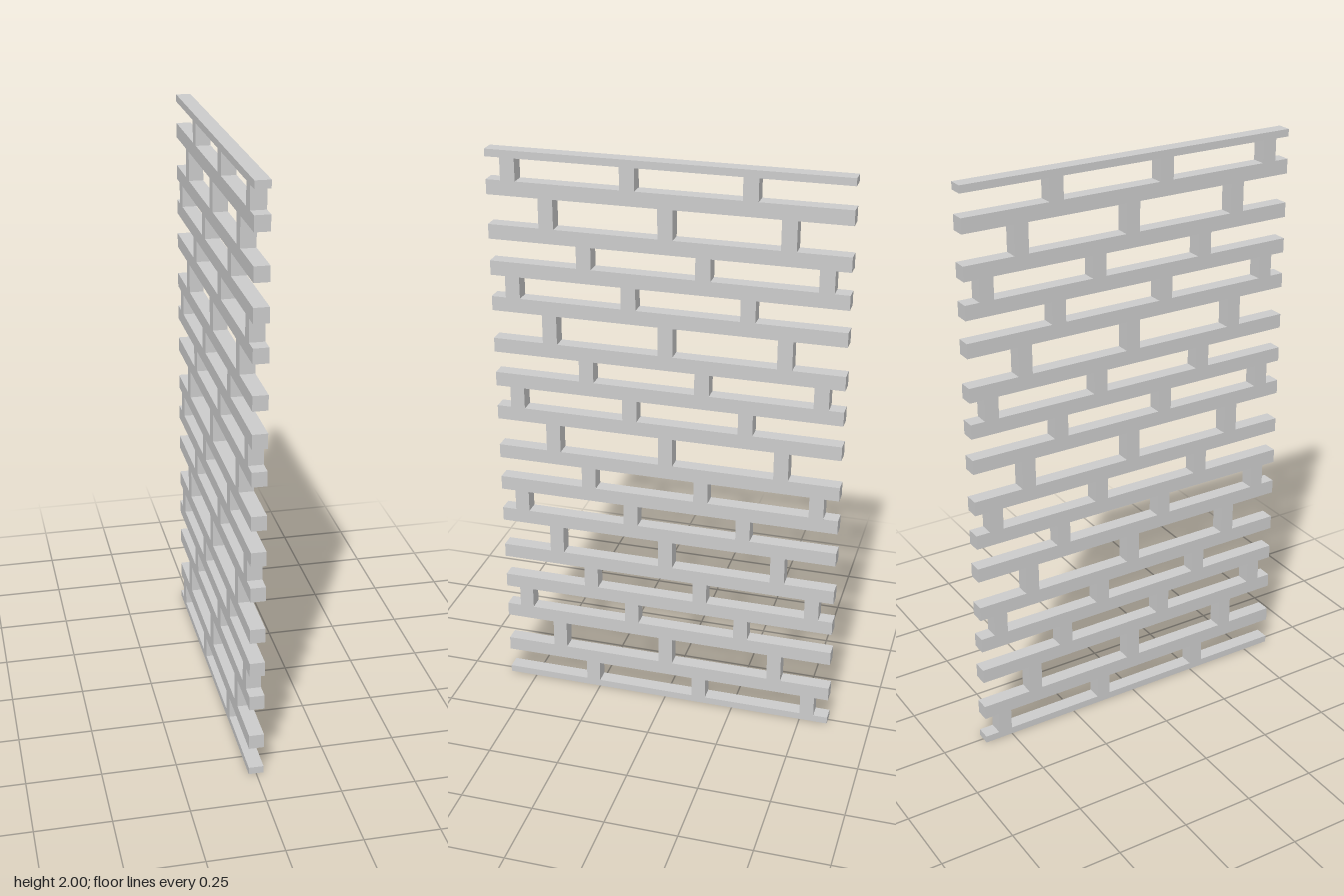
import * as THREE from 'three';

const HEIGHT = 2, WIDTH = 1.2, BAR = 0.05;
const PERIOD = 0.4, PITCH = 0.4;

// Each repeat has three courses: base height and sideways shift of its posts
const COURSES = [
  { y: 0, shift: -0.125 },
  { y: 0.125, shift: 0 },
  { y: 0.275, shift: 0.125 },
];

export function createModel() {
  const model = new THREE.Group();
  model.name = 'latticeScreen';
  const material = new THREE.MeshStandardMaterial({ color: 0xcccccc, flatShading: true });

  function addBar(name, y0, y1, z, length) {
    const mesh = new THREE.Mesh(new THREE.BoxGeometry(BAR, y1 - y0, length), material);
    mesh.name = name;
    mesh.position.set(0, (y0 + y1) / 2, z);
    model.add(mesh);
  }

  // Full-width rails; the bottom and top ones are cut to half thickness
  function addRail(y) {
    addBar('rail', Math.max(0, y - BAR / 2), Math.min(HEIGHT, y + BAR / 2), 0, WIDTH);
  }

  for (let repeat = 0; repeat < HEIGHT / PERIOD; repeat++) {
    COURSES.forEach(({ y, shift }, i) => {
      const base = repeat * PERIOD + y;
      const next = repeat * PERIOD + (i < 2 ? COURSES[i + 1].y : PERIOD);
      addRail(base);
      // Short posts between this rail and the next, staggered per course
      for (let k = -1; k <= 1; k++) {
        addBar('post', base + BAR / 2, next - BAR / 2, shift + k * PITCH, BAR);
      }
    });
  }
  addRail(HEIGHT);

  return model;
}
